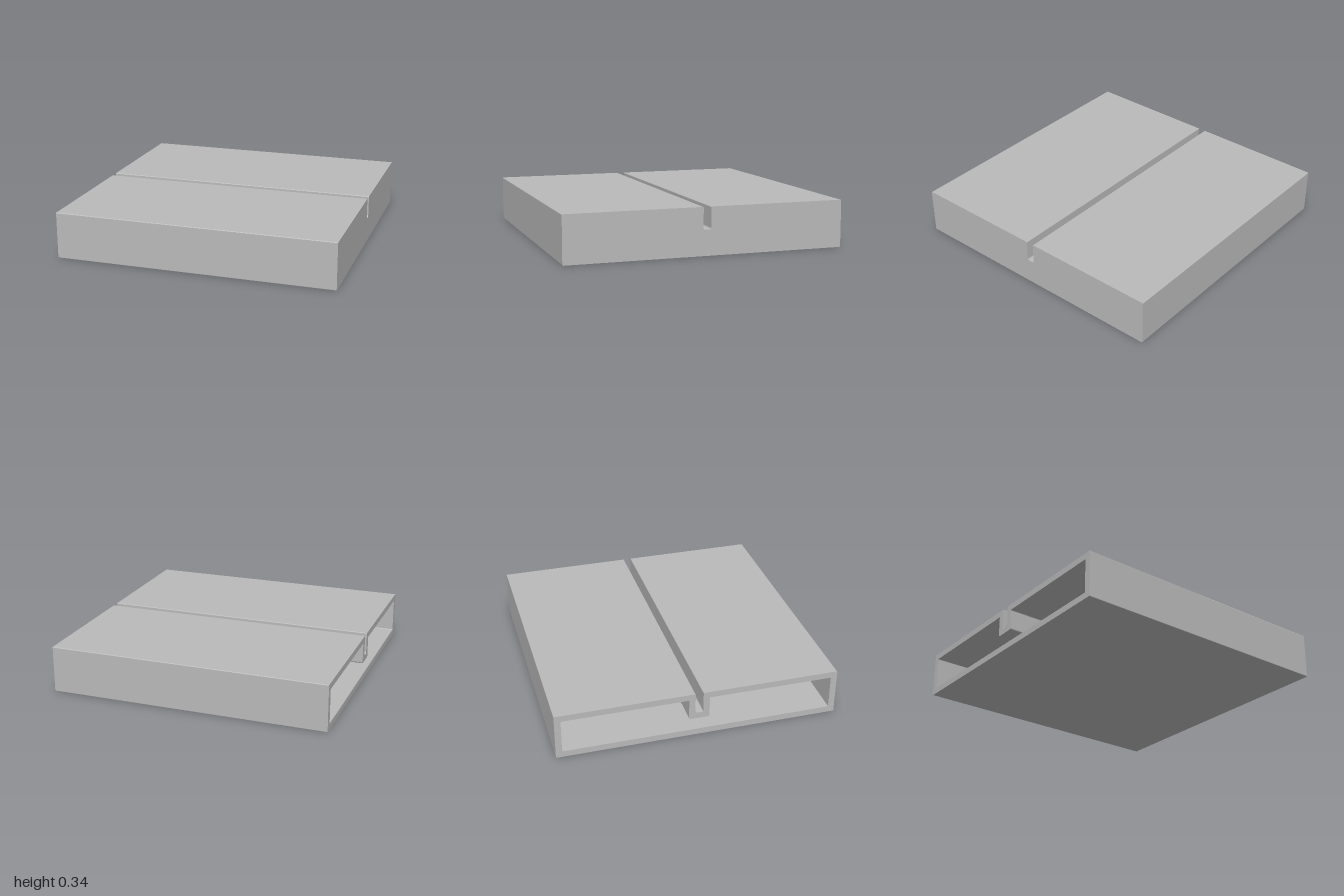
import * as THREE from 'three';

const HEIGHT = 0.335, WALL = 0.045, SLOT = 0.028, SLOT_FLOOR = 0.18;

// Closed outline through [x, y, cornerRadius] points, each corner rounded off
function roundedOutline(points, Type) {
  const outline = new Type();
  const n = points.length;
  points.forEach(([x, y, r], i) => {
    const corner = new THREE.Vector2(x, y);
    const toward = ([px, py]) =>
      new THREE.Vector2(px, py).sub(corner).setLength(r).add(corner);
    const a = toward(points[(i + n - 1) % n]);
    const b = toward(points[(i + 1) % n]);
    if (i === 0) outline.moveTo(a.x, a.y);
    else outline.lineTo(a.x, a.y);
    outline.quadraticCurveTo(x, y, b.x, b.y);
  });
  outline.closePath();
  return outline;
}

// Slotted box section; inset moves every side inward by the wall thickness
function section(inset, Type) {
  const side = 1 - inset, top = HEIGHT - inset;
  const slot = SLOT + inset, floor = SLOT_FLOOR - inset;
  const right = [[side, inset, 0.006], [side, top, 0.006], [slot, top, 0.006], [slot, floor, 0.014]];
  const left = right.map(([x, y, r]) => [-x, y, r]).reverse();
  return roundedOutline([...right, ...left], Type);
}

// Extrude a section along x between two stations
function extrudeAlongX(shape, from, to) {
  const geometry = new THREE.ExtrudeGeometry(shape, {
    depth: to - from, bevelEnabled: false, curveSegments: 4,
  });
  return geometry.rotateY(Math.PI / 2).translate(from, 0, 0);
}

export function createModel() {
  const group = new THREE.Group();
  group.name = 'slottedCase';
  const grey = new THREE.MeshStandardMaterial({ color: 0xbababa });
  grey.name = 'plain grey';

  const add = (name, geometry) => {
    const mesh = new THREE.Mesh(geometry, grey);
    mesh.name = name;
    group.add(mesh);
  };

  // Hollow body with the slot channel, open at the -x end
  const shell = section(0, THREE.Shape);
  shell.holes.push(section(WALL, THREE.Path));
  add('hollowShell', extrudeAlongX(shell, -1, 1 - WALL));

  // Solid wall closing the +x end, with the slot running through it
  add('endWall', extrudeAlongX(section(0, THREE.Shape), 1 - WALL, 1));

  return group;
}
